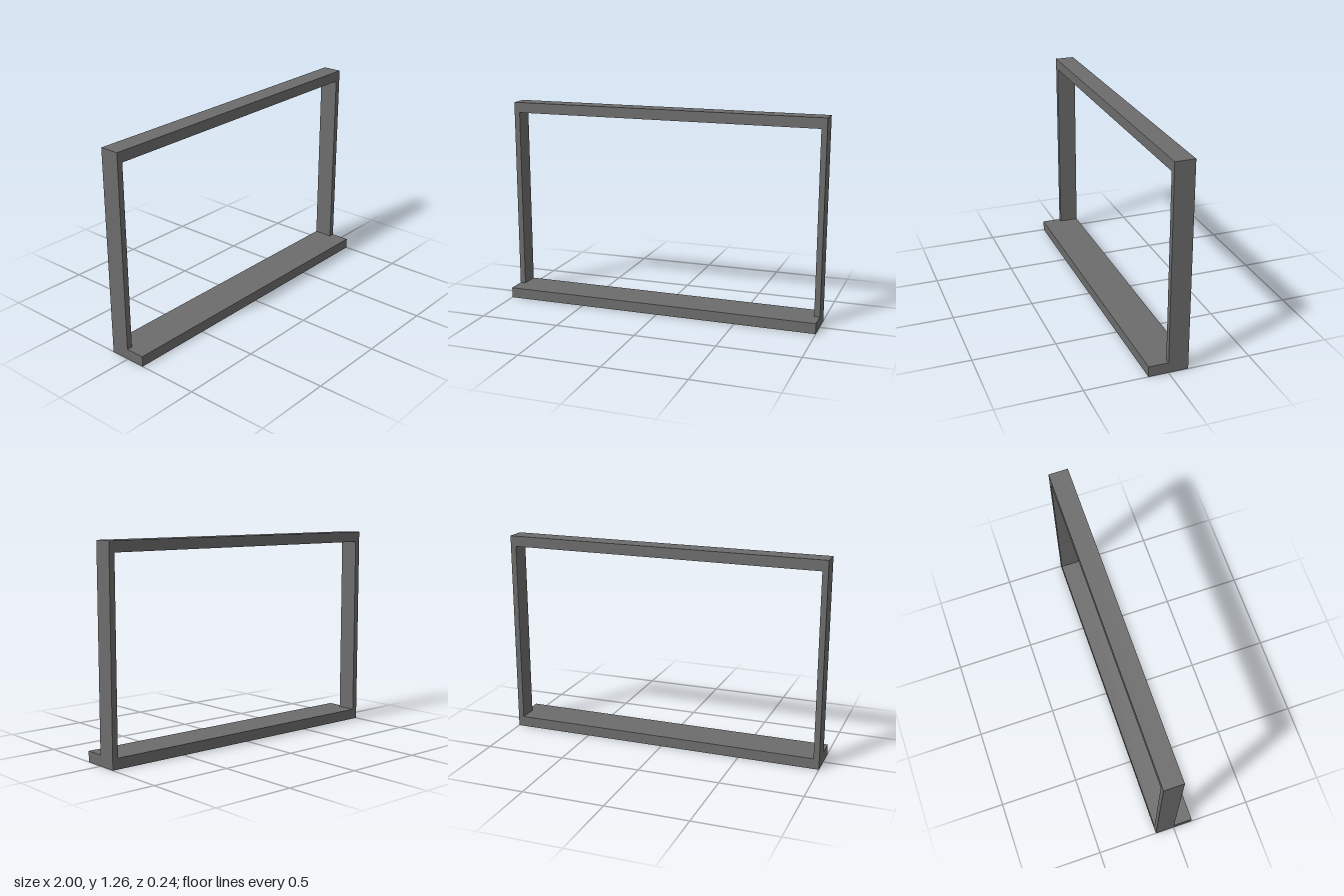
import * as THREE from 'three';

const HEIGHT = 1.265, RAIL = 0.065, STILE = 0.035, DEPTH = 0.12;

export function createModel() {
  const group = new THREE.Group();
  const grey = new THREE.MeshStandardMaterial({ color: 0x6c6c6c });
  grey.name = 'darkGrey';

  const add = (name, geometry, x, y, z) => {
    const mesh = new THREE.Mesh(geometry, grey);
    mesh.name = name;
    mesh.position.set(x, y, z);
    group.add(mesh);
  };

  // Rectangular frame with one opening, set in the back half
  const outline = new THREE.Shape([[-1, 0], [1, 0], [1, HEIGHT], [-1, HEIGHT]]
    .map(([x, y]) => new THREE.Vector2(x, y)));
  const inX = 1 - STILE, top = HEIGHT - RAIL;
  outline.holes.push(new THREE.Path([[-inX, RAIL], [-inX, top], [inX, top], [inX, RAIL]]
    .map(([x, y]) => new THREE.Vector2(x, y))));
  add('frame', new THREE.ExtrudeGeometry(outline, { depth: DEPTH, bevelEnabled: false }), 0, 0, -DEPTH);

  // Sill projecting forward from the bottom rail
  add('sill', new THREE.BoxGeometry(2, RAIL, DEPTH), 0, RAIL / 2, DEPTH / 2);

  return group;
}
